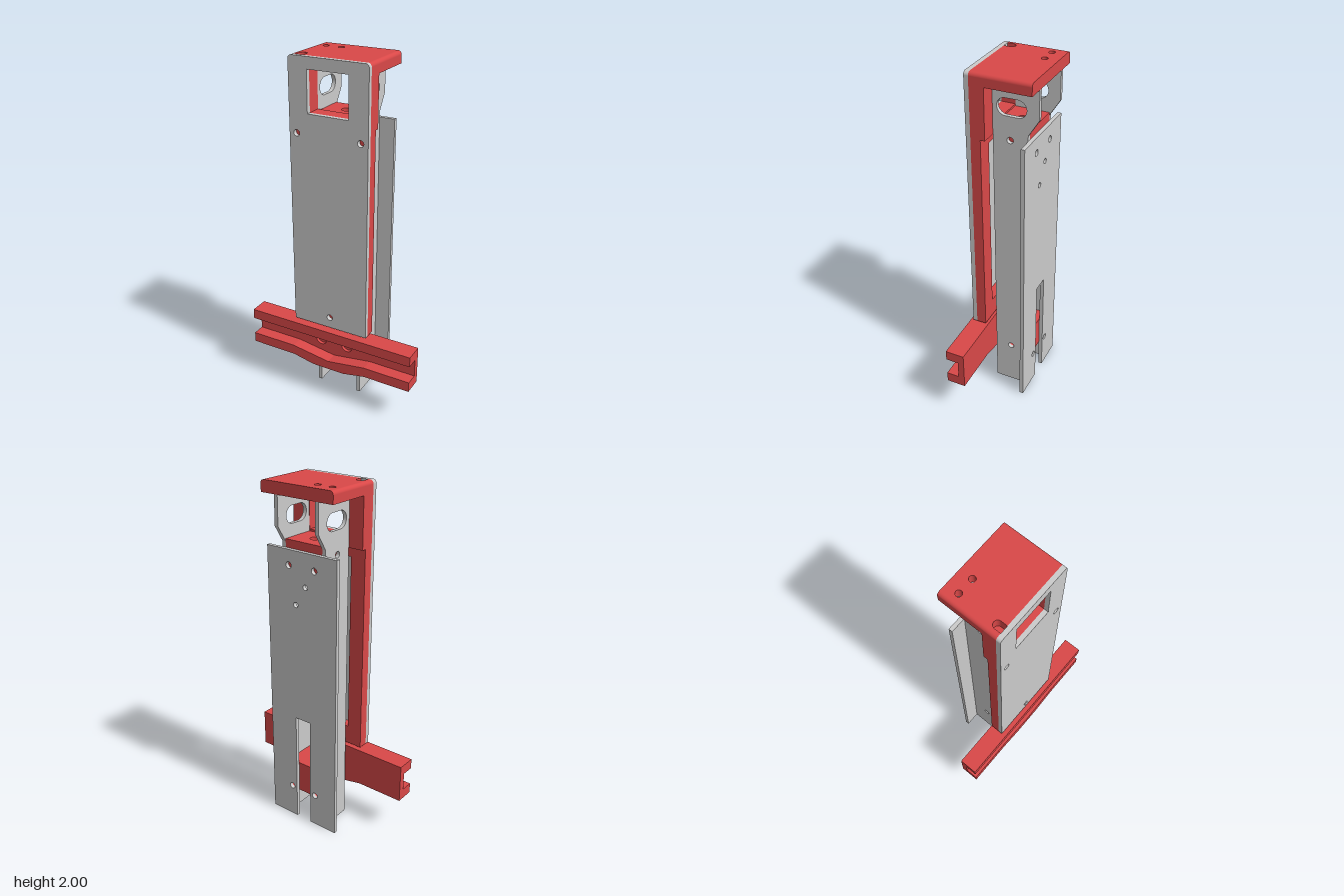
import * as THREE from 'three';

const grey = new THREE.MeshStandardMaterial({ color: 0xcccccc });
const red = new THREE.MeshStandardMaterial({ color: 0xd94848 });

const poly = (pts) => new THREE.Shape(pts.map(([a, b]) => new THREE.Vector2(a, b)));
const rect = (a0, b0, a1, b1) => poly([[a0, b0], [a1, b0], [a1, b1], [a0, b1]]);

function drill(shape, ...holes) {
  for (const [a, b, r] of holes) shape.holes.push(new THREE.Path().absarc(a, b, r, 0, Math.PI * 2, true));
  return shape;
}

// Extrudes a shape between two positions on an axis.
// Shape coordinates: z axis -> (x, y), x axis -> (z, y), y axis -> (x, z).
function slab(name, shape, axis, from, to, material) {
  const geo = new THREE.ExtrudeGeometry(shape, { depth: to - from, bevelEnabled: false, curveSegments: 16 });
  if (axis === 'z') geo.translate(0, 0, from);
  if (axis === 'x') geo.rotateY(-Math.PI / 2).translate(to, 0, 0);
  if (axis === 'y') geo.rotateX(Math.PI / 2).translate(0, to, 0);
  const mesh = new THREE.Mesh(geo, material);
  mesh.name = name;
  return mesh;
}

function createFrontHousing() {
  const g = new THREE.Group();
  g.name = 'frontHousing';

  // Front cover plate with rounded top corners, a window and screw holes
  const cover = new THREE.Shape();
  cover.moveTo(-0.23, 0.47);
  cover.lineTo(0.23, 0.47);
  cover.lineTo(0.23, 1.98);
  cover.absarc(0.21, 1.98, 0.02, 0, Math.PI / 2);
  cover.lineTo(-0.21, 2);
  cover.absarc(-0.21, 1.98, 0.02, Math.PI / 2, Math.PI);
  cover.holes.push(rect(-0.12, 1.71, 0.117, 1.937));
  drill(cover, [-0.187, 1.6, 0.018], [0.187, 1.6, 0.018], [0, 0.535, 0.018]);
  g.add(slab('frontCover', cover, 'z', 0.14, 0.165, grey));

  // Open frame behind the cover
  const frame = rect(-0.23, 0.47, 0.23, 1.655);
  frame.holes.push(rect(-0.14, 0.58, 0.14, 1.6));
  g.add(slab('frame', frame, 'z', 0.085, 0.14, red));

  // Thicker window surround above it
  const surround = poly([[-0.23, 1.655], [0.23, 1.655], [0.23, 1.935], [0.117, 1.935],
    [0.117, 1.71], [-0.12, 1.71], [-0.12, 1.935], [-0.23, 1.935]]);
  g.add(slab('windowSurround', surround, 'z', 0.06, 0.14, red));

  // Top cap with two holes and a cable notch
  const cap = new THREE.Shape();
  cap.moveTo(-0.21, -0.19);
  cap.lineTo(0.21, -0.19);
  cap.lineTo(0.21, 0.14);
  cap.lineTo(-0.153, 0.14);
  cap.lineTo(-0.153, 0.105);
  cap.absarc(-0.175, 0.105, 0.022, 0, Math.PI, true);
  cap.lineTo(-0.197, 0.14);
  cap.lineTo(-0.21, 0.14);
  drill(cap, [-0.17, -0.117, 0.017], [-0.08, -0.117, 0.017]);
  g.add(slab('topCap', cap, 'y', 1.935, 2, red));

  // Rounded long edges of the cap
  for (const s of [-1, 1]) {
    const edge = new THREE.Shape();
    edge.moveTo(s * 0.21, 1.935);
    edge.lineTo(s * 0.23, 1.935);
    edge.lineTo(s * 0.23, 1.98);
    edge.absarc(s * 0.21, 1.98, 0.02, s > 0 ? 0 : Math.PI, Math.PI / 2, s < 0);
    g.add(slab('capEdge', edge, 'z', -0.19, 0.14, red));
  }
  return g;
}

function createRearColumn() {
  const g = new THREE.Group();
  g.name = 'rearColumn';

  // Back plate, forked at the bottom
  const back = poly([[-0.23, 0], [-0.05, 0], [-0.05, 0.675], [0.05, 0.675], [0.05, 0],
    [0.23, 0], [0.23, 1.655], [-0.23, 1.655]]);
  drill(back, [0.085, 1.57, 0.018], [-0.085, 1.57, 0.018], [-0.026, 1.47, 0.015], [0.04, 1.36, 0.015],
    [0.085, 0.2, 0.018], [-0.085, 0.2, 0.018]);
  g.add(slab('backPlate', back, 'z', -0.155, -0.133, grey));

  // Side plates with a hooked head and an oblong slot
  const side = poly([[0.06, 0], [0.06, 1.935], [-0.19, 1.935], [-0.19, 1.775], [-0.133, 1.685], [-0.133, 0]]);
  const slot = new THREE.Path();
  slot.absarc(-0.077, 1.816, 0.047, Math.PI / 2, Math.PI * 1.5);
  slot.absarc(-0.01, 1.816, 0.047, -Math.PI / 2, Math.PI / 2);
  slot.closePath();
  side.holes.push(slot);
  drill(side, [-0.035, 1.64, 0.018], [-0.035, 0.27, 0.018]);
  for (const x of [-0.142, 0.12]) g.add(slab('sidePlate', side, 'x', x, x + 0.022, grey));

  // Upper spacer block with a vertical hole
  const upper = drill(rect(-0.12, -0.133, 0.12, 0.06), [0, -0.035, 0.03]);
  g.add(slab('upperSpacer', upper, 'y', 1.545, 1.7, red));

  // Lower spacer block: drilled front to back above and below a cross hole
  for (const y of [0.175, 0.295]) {
    const hole = y < 0.2 ? 0.2 : 0.335;
    const part = drill(rect(-0.12, y, 0.12, y + 0.07), [-0.085, hole, 0.018], [0.085, hole, 0.018]);
    g.add(slab('lowerSpacer', part, 'z', -0.133, 0.06, red));
  }
  const middle = drill(rect(-0.133, 0.245, 0.06, 0.295), [-0.035, 0.27, 0.018]);
  g.add(slab('lowerSpacerMiddle', middle, 'x', -0.12, 0.12, red));
  return g;
}

function createCrossRail() {
  const g = new THREE.Group();
  g.name = 'crossRail';
  const bottom = [[-0.515, 0.225], [-0.235, 0.225], [-0.1, 0.198], [0.1, 0.198], [0.235, 0.225], [0.515, 0.225]];
  const inner = [[0.515, 0.285], [0.235, 0.285], [0, 0.25], [-0.235, 0.285], [-0.515, 0.285]];

  // Web in two layers, giving counterbored holes
  for (const [from, to, r] of [[0.08, 0.098, 0.018], [0.098, 0.117, 0.034]]) {
    const web = poly([...bottom, [0.515, 0.45], [-0.515, 0.45]]);
    g.add(slab('railWeb', drill(web, [-0.085, 0.337, r], [0.085, 0.337, r]), 'z', from, to, red));
  }

  // Flanges, the lower one sagging in the middle
  g.add(slab('lowerFlange', poly([...bottom, ...inner]), 'z', 0.117, 0.19, red));
  g.add(slab('upperFlange', rect(-0.515, 0.39, 0.515, 0.45), 'z', 0.117, 0.19, red));
  return g;
}

export function createModel() {
  const model = new THREE.Group();
  model.name = 'columnAssembly';
  model.add(createFrontHousing(), createRearColumn(), createCrossRail());
  return model;
}
